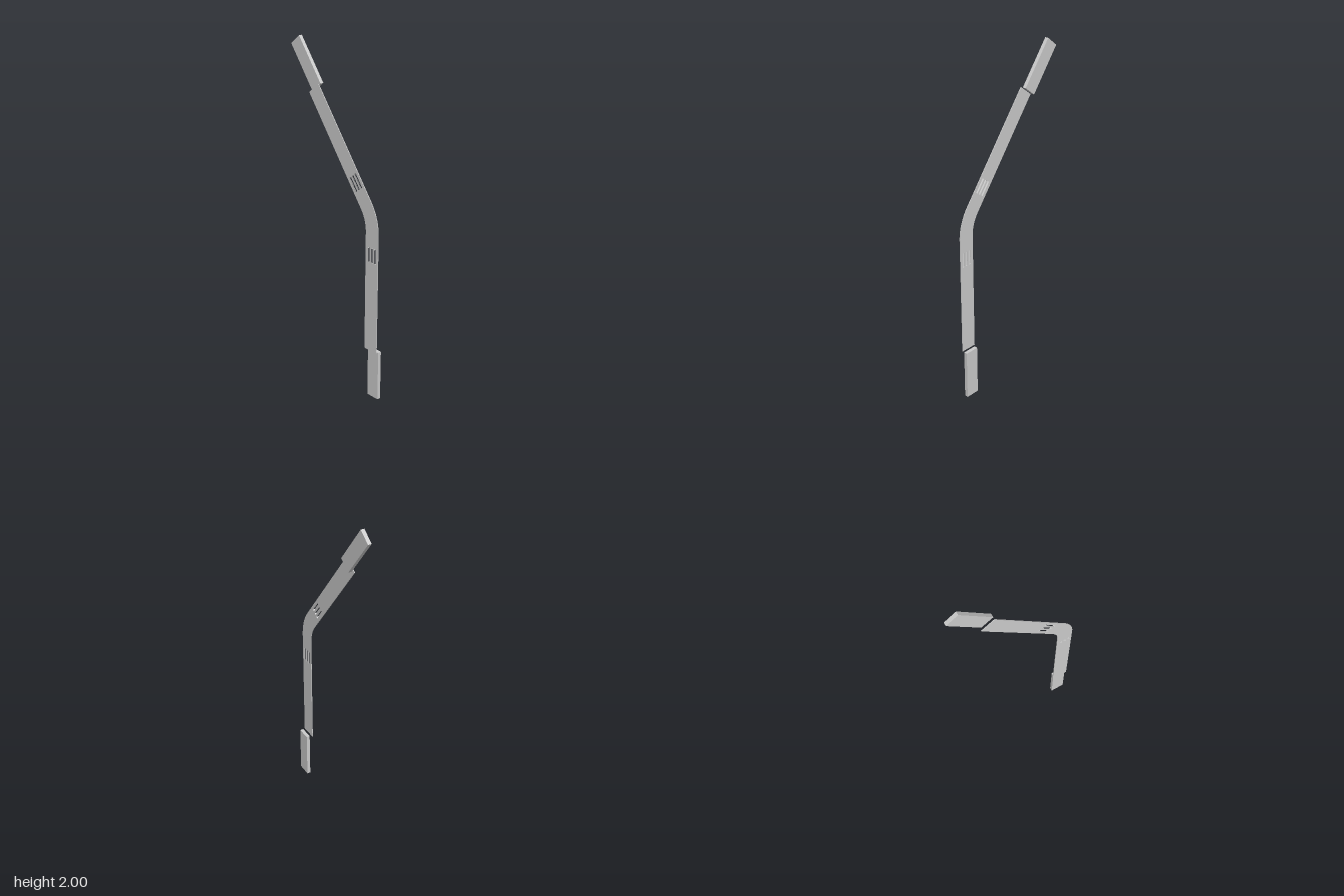
import * as THREE from 'three';

const BEND = Math.atan2(0.6, 0.8);      // angle between the two straight legs
const OUTER = 0.3, INNER = 0.203;       // bend radii
const CX = 0.067, CY = 1.009;           // bend centre
const LOWER = 0.708, UPPER = 0.713;     // straight lengths beside the bend
const BACK = 0.0095, FRONT = 0.0135;    // strip faces in z
const SLOT_W = 0.0125, SLOT_L = 0.086, RISE = 0.0078;
const SLOT_X = [0.222, 0.246, 0.27];    // slot hinge edges, measured from the bend centre

const material = new THREE.MeshStandardMaterial({ color: 0xcccccc });
const thin = new THREE.MeshStandardMaterial({ color: 0xcccccc, side: THREE.DoubleSide });

// Each leg has a frame at the bend centre: x across the strip, y along it
const legs = [
  { name: 'lower', angle: 0, slotY: -0.169, blockX: [0.216, 0.3], blockY: [-1.009, -0.709] },
  { name: 'upper', angle: BEND, slotY: 0.093, blockX: [0.2135, 0.3], blockY: [0.713, 1.013] },
];

function toModel(x, y, angle) {
  return new THREE.Vector2(x, y).rotateAround(new THREE.Vector2(), angle).add(new THREE.Vector2(CX, CY));
}

// Bent flat strip with the louver slots cut through
function makeStrip() {
  const shape = new THREE.Shape();
  const a = toModel(INNER, -LOWER, 0), b = toModel(OUTER, -LOWER, 0);
  const c = toModel(OUTER, UPPER, BEND), d = toModel(INNER, UPPER, BEND);
  shape.moveTo(a.x, a.y);
  shape.lineTo(b.x, b.y);
  shape.absarc(CX, CY, OUTER, 0, BEND, false);
  shape.lineTo(c.x, c.y);
  shape.lineTo(d.x, d.y);
  shape.absarc(CX, CY, INNER, BEND, 0, true);
  shape.closePath();
  for (const leg of legs) {
    for (const x of SLOT_X) {
      const y = leg.slotY;
      const corners = [[x, y], [x, y + SLOT_L], [x + SLOT_W, y + SLOT_L], [x + SLOT_W, y]];
      shape.holes.push(new THREE.Path(corners.map(([u, v]) => toModel(u, v, leg.angle))));
    }
  }
  const geometry = new THREE.ExtrudeGeometry(shape, { depth: FRONT - BACK, bevelEnabled: false, curveSegments: 16 });
  geometry.translate(0, 0, BACK);
  const mesh = new THREE.Mesh(geometry, material);
  mesh.name = 'bentStrip';
  return mesh;
}

// Raised flap with triangular cheeks, open along its outer edge
function makeLouverGeometry() {
  const indexed = new THREE.BufferGeometry();
  indexed.setAttribute('position', new THREE.Float32BufferAttribute([
    0, 0, 0, SLOT_W, 0, 0, SLOT_W, 0, RISE,
    0, SLOT_L, 0, SLOT_W, SLOT_L, 0, SLOT_W, SLOT_L, RISE,
  ], 3));
  indexed.setIndex([0, 2, 5, 0, 5, 3, 0, 1, 2, 3, 5, 4]);
  const geometry = indexed.toNonIndexed();
  geometry.computeVertexNormals();
  return geometry;
}

export function createModel() {
  const model = new THREE.Group();
  model.name = 'bentLouveredStrip';
  model.add(makeStrip());
  const louver = makeLouverGeometry();
  for (const leg of legs) {
    const group = new THREE.Group();
    group.name = leg.name + 'Leg';
    group.position.set(CX, CY, 0);
    group.rotation.z = leg.angle;

    // End block sitting behind the strip
    const [x0, x1] = leg.blockX, [y0, y1] = leg.blockY;
    const block = new THREE.Mesh(new THREE.BoxGeometry(x1 - x0, y1 - y0, 0.021), material);
    block.position.set((x0 + x1) / 2, (y0 + y1) / 2, -0.0125);
    block.name = leg.name + 'EndBlock';
    group.add(block);

    SLOT_X.forEach((x, i) => {
      const flap = new THREE.Mesh(louver, thin);
      flap.position.set(x, leg.slotY, FRONT);
      flap.name = `${leg.name}Louver${i + 1}`;
      group.add(flap);
    });
    model.add(group);
  }
  return model;
}
